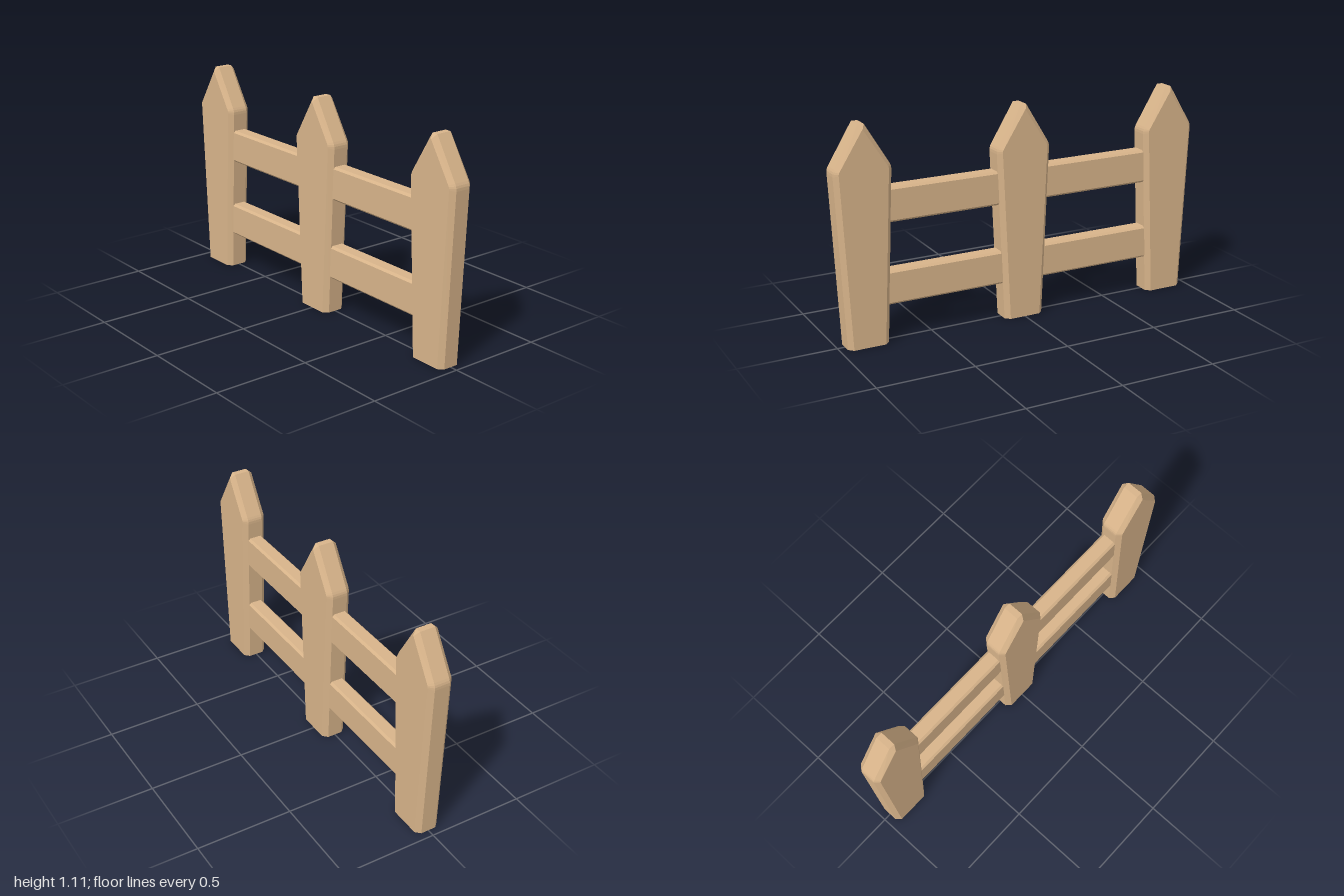
import * as THREE from 'three';

const wood = new THREE.MeshStandardMaterial({ color: 0xd8b48a });

// Half outlines [z, y] of a picket, from foot over the softened shoulder to tip
const edge = [[0.107, 0], [0.147, 0.875], [0.1465, 0.889], [0.1435, 0.9], [0.138, 0.911], [0.016, 1.112]];
const face = [[0.083, 0], [0.125, 0.882], [0.1248, 0.89], [0.123, 0.897], [0.119, 0.904], [0.001, 1.09]];

// Full closed loop at a given x, counter-clockwise as seen from +x
function loop(half, x) {
  const back = half.map(([z, y]) => [x, y, -z]);
  const front = half.map(([z, y]) => [x, y, z]).reverse();
  return [...back, ...front];
}

// Chamfered board: two face loops with two wider edge loops between them
function picketGeometry() {
  const levels = [loop(face, -0.064), loop(edge, -0.04), loop(edge, 0.04), loop(face, 0.064)];
  const n = levels[0].length;
  const pos = [];
  const tri = (a, b, c) => pos.push(...a, ...b, ...c);
  for (let i = 0; i < 3; i++) {
    for (let j = 0; j < n; j++) {
      const k = (j + 1) % n;
      const [p, q] = [levels[i], levels[i + 1]];
      tri(p[j], p[k], q[k]);
      tri(p[j], q[k], q[j]);
    }
  }
  // Broad faces
  for (let j = 1; j < n - 1; j++) {
    tri(levels[3][0], levels[3][j], levels[3][j + 1]);
    tri(levels[0][0], levels[0][j + 1], levels[0][j]);
  }
  const g = new THREE.BufferGeometry();
  g.setAttribute('position', new THREE.Float32BufferAttribute(pos, 3));
  g.computeVertexNormals();
  return g;
}

// Rail with chamfered long edges, running along z
function railGeometry() {
  const w = 0.041, h = 0.0875, c = 0.011;
  const corners = [[w, h - c], [w - c, h], [c - w, h], [-w, h - c], [-w, c - h], [c - w, -h], [w - c, -h], [w, c - h]];
  const shape = new THREE.Shape(corners.map(([x, y]) => new THREE.Vector2(x, y)));
  const g = new THREE.ExtrudeGeometry(shape, { depth: 1.7, bevelEnabled: false });
  return g.translate(0, 0, -0.85);
}

export function createModel() {
  const fence = new THREE.Group();
  fence.name = 'fence';

  const picket = picketGeometry();
  [['backPicket', -0.853], ['middlePicket', 0], ['frontPicket', 0.853]].forEach(([name, z]) => {
    const mesh = new THREE.Mesh(picket, wood);
    mesh.name = name;
    mesh.position.z = z;
    fence.add(mesh);
  });

  const rail = railGeometry();
  [['lowerRail', 0.278], ['upperRail', 0.698]].forEach(([name, y]) => {
    const mesh = new THREE.Mesh(rail, wood);
    mesh.name = name;
    mesh.position.y = y;
    fence.add(mesh);
  });

  return fence;
}
